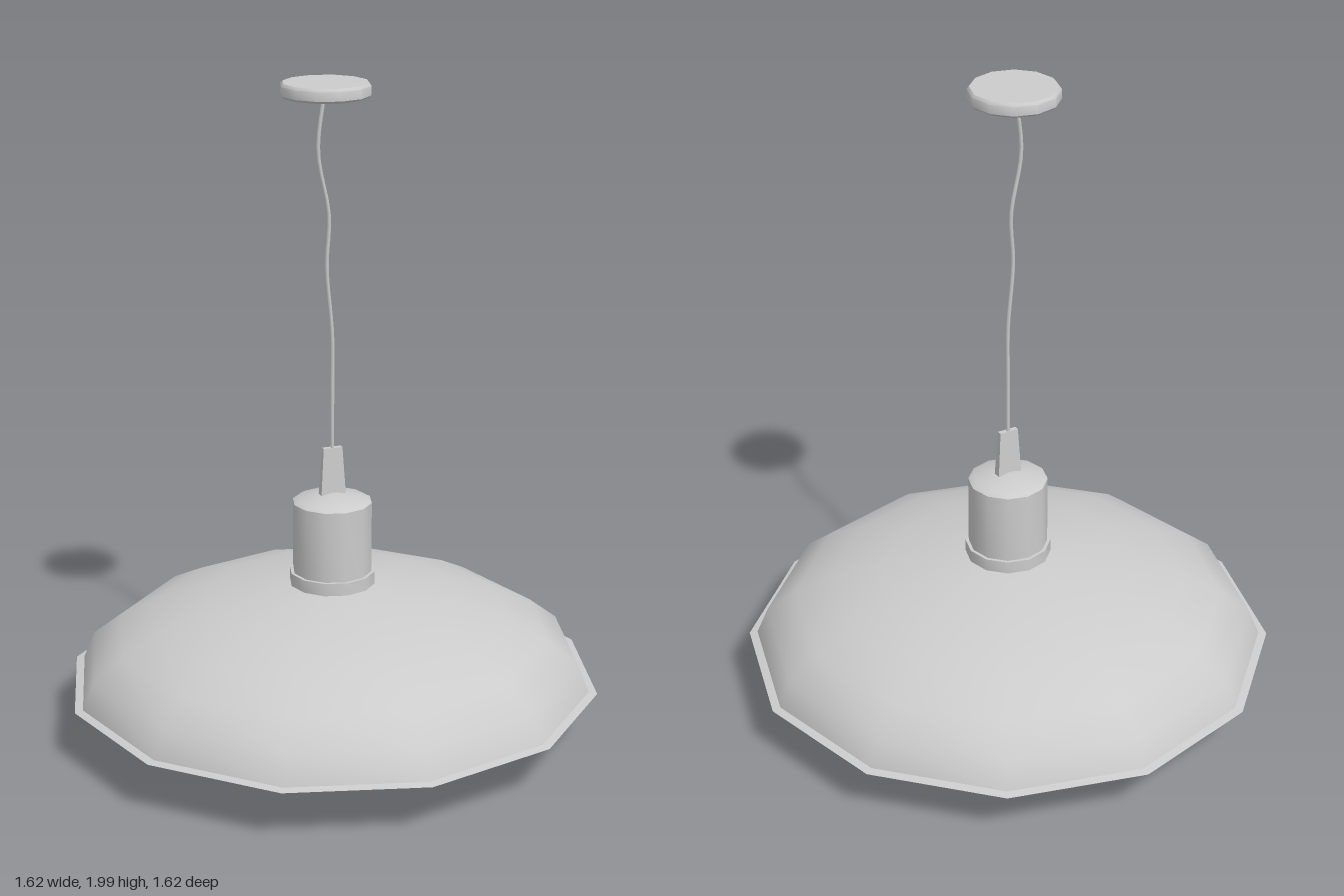
import * as THREE from 'three';
import { toCreasedNormals } from 'three/addons/utils/BufferGeometryUtils.js';

const SIDES = 12;
const grey = new THREE.MeshStandardMaterial({ color: 0xcccccc });
const greyDouble = new THREE.MeshStandardMaterial({ color: 0xcccccc, side: THREE.DoubleSide });
const red = new THREE.MeshStandardMaterial({ color: 0xbb7f7f });

function part(name, geometry, material = grey) {
  const mesh = new THREE.Mesh(geometry, material);
  mesh.name = name;
  return mesh;
}

// Turned part from [radius, height] pairs, listed bottom to top
function turned(name, profile, material = grey, crease = 0.75) {
  const points = profile.map(([r, y]) => new THREE.Vector2(r, y));
  return part(name, toCreasedNormals(new THREE.LatheGeometry(points, SIDES), crease), material);
}

export function createModel() {
  const lamp = new THREE.Group();
  lamp.name = 'pendantLamp';

  // Wide open shade with a thin flange at its rim
  lamp.add(turned('shade', [
    [0.81, 0.172], [0.785, 0.177], [0.75, 0.26], [0.66, 0.33],
    [0.545, 0.388], [0.385, 0.437], [0.13, 0.483], [0, 0.485],
  ], greyDouble));

  // Collar and lamp holder above the shade
  lamp.add(turned('collar', [[0.13, 0.478], [0.13, 0.522], [0.118, 0.522]]));
  lamp.add(turned('socket', [[0.12, 0.48], [0.12, 0.74], [0.105, 0.748], [0, 0.772]], grey, 0.6));

  // Flat tapered cord grip
  const grip = new THREE.BoxGeometry(0.085, 0.21, 0.03);
  const pos = grip.attributes.position;
  for (let i = 0; i < pos.count; i++) {
    if (pos.getY(i) > 0) {
      pos.setX(i, pos.getX(i) * 0.7);
      pos.setZ(i, pos.getZ(i) * 0.5);
    }
  }
  grip.computeVertexNormals();
  const cordGrip = part('cordGrip', grip);
  cordGrip.position.y = 0.803;
  lamp.add(cordGrip);

  // Slightly wavy cord
  const path = new THREE.CatmullRomCurve3([
    [0, 0.88], [0, 1.08], [0, 1.25], [-0.017, 1.46], [-0.01, 1.61], [-0.043, 1.8], [-0.024, 1.97],
  ].map(([x, y]) => new THREE.Vector3(x, y, 0)));
  lamp.add(part('cord', new THREE.TubeGeometry(path, 28, 0.006, 6)));

  // Ceiling plate, a little off centre
  const plate = turned('ceilingPlate', [
    [0, 1.958], [0.125, 1.958], [0.132, 1.965], [0.132, 1.992], [0.125, 2], [0, 2],
  ]);
  plate.position.x = -0.02;
  lamp.add(plate);

  // Bulb: round globe narrowing to a neck
  lamp.add(turned('bulb', [
    [0, 0.008], [0.06, 0.02], [0.115, 0.054], [0.15, 0.1], [0.165, 0.16],
    [0.155, 0.215], [0.125, 0.275], [0.09, 0.33], [0.068, 0.385], [0.068, 0.465], [0, 0.475],
  ], red, 1));

  return lamp;
}
